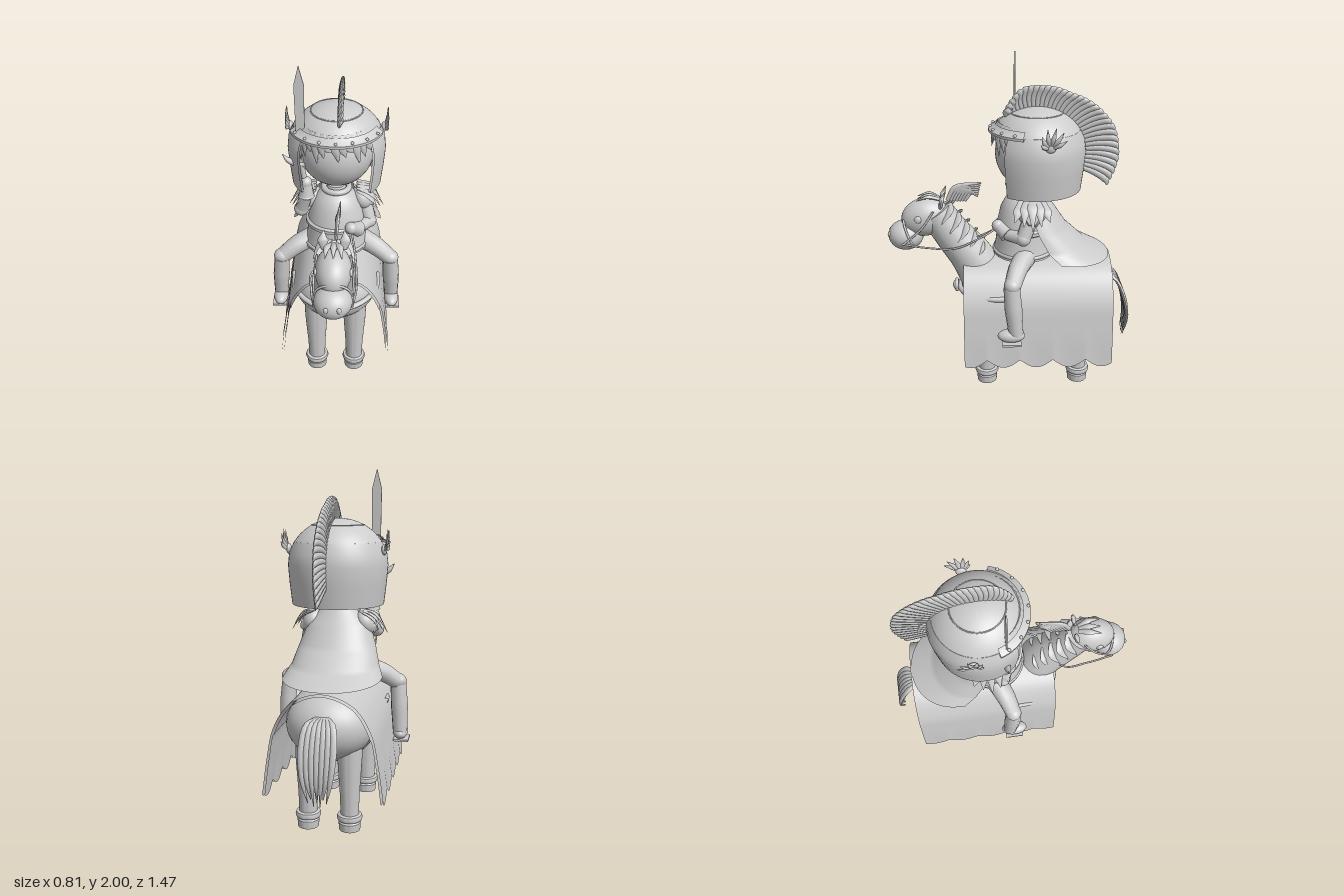
import * as THREE from 'three';
import { toCreasedNormals } from 'three/addons/utils/BufferGeometryUtils.js';

const mat = new THREE.MeshStandardMaterial({ color: 0xcccccc, side: THREE.DoubleSide });
const V = (p) => new THREE.Vector3(...p);
const lerpList = (list, t) => {
  const f = Math.min(t, 1) * (list.length - 1), i = Math.min(Math.floor(f), list.length - 2);
  return list[i] + (list[i + 1] - list[i]) * (f - i);
};

// Sweeps an elliptical section along a curve; "flat" scales it across the side axis.
function sweep(pts, radii, { flat = 1, side = [1, 0, 0], n = 12, seg = 14 } = {}) {
  const curve = new THREE.CatmullRomCurve3(pts.map(V));
  const pos = [], idx = [];
  for (let i = 0; i <= seg; i++) {
    const p = curve.getPoint(i / seg), T = curve.getTangent(i / seg), r = lerpList(radii, i / seg);
    const S = V(side);
    S.addScaledVector(T, -S.dot(T)).normalize();
    const N = T.clone().cross(S);
    for (let j = 0; j < n; j++) {
      const a = (j / n) * Math.PI * 2;
      const q = p.clone().addScaledVector(S, r * Math.cos(a)).addScaledVector(N, r * flat * Math.sin(a));
      pos.push(q.x, q.y, q.z);
      if (i < seg) {
        const A = i * n + j, B = i * n + (j + 1) % n;
        idx.push(A, B, A + n, B, B + n, A + n);
      }
    }
  }
  const c = pos.length / 3, e = seg * n;
  pos.push(...pts[0], ...pts[pts.length - 1]);
  for (let j = 0; j < n; j++) {
    const k = (j + 1) % n;
    idx.push(c, k, j, c + 1, e + j, e + k);
  }
  const g = new THREE.BufferGeometry();
  g.setAttribute('position', new THREE.Float32BufferAttribute(pos, 3));
  g.setIndex(idx);
  return toCreasedNormals(g, 0.9);
}

// Bends a plane into a sheet; fn takes u, v in 0..1 and returns a point.
function sheet(nu, nv, fn) {
  const g = new THREE.PlaneGeometry(1, 1, nu, nv), p = g.attributes.position;
  for (let i = 0; i < p.count; i++) p.setXYZ(i, ...fn(p.getX(i) + 0.5, p.getY(i) + 0.5));
  g.computeVertexNormals();
  return g;
}

const ball = (rx, ry, rz) => new THREE.SphereGeometry(1, 32, 20).scale(rx, ry, rz);
const lathe = (pts, start = 0, len = Math.PI * 2) =>
  toCreasedNormals(new THREE.LatheGeometry(pts.map((p) => new THREE.Vector2(...p)), 48, start, len), 0.7);

export function createModel() {
  const model = new THREE.Group();
  const add = (name, geo, pos = [0, 0, 0], rot = [0, 0, 0]) => {
    const m = new THREE.Mesh(geo, mat);
    m.name = name;
    m.position.set(...pos);
    m.rotation.set(...rot);
    model.add(m);
    return m;
  };
  const both = (fn) => [[1, 'left'], [-1, 'right']].forEach(([s, w]) => fn(s, w));

  // Horse body
  add('horseBarrel', ball(0.245, 0.225, 0.43), [0, 0.57, -0.15]);
  add('horseChest', ball(0.25, 0.195, 0.23), [0, 0.615, 0.07]);
  add('horseRump', ball(0.25, 0.2, 0.23), [0, 0.605, -0.37]);
  const legProfile = [[0, 0], [0.06, 0], [0.063, 0.045], [0.052, 0.055], [0.068, 0.06], [0.073, 0.075],
    [0.068, 0.09], [0.052, 0.095], [0.055, 0.2], [0.07, 0.43], [0.07, 0.55]];
  both((s, w) => [[0.15, 'Front'], [-0.42, 'Back']].forEach(([z, e]) =>
    add(`${w}${e}HorseLeg`, lathe(legProfile), [s * 0.12, 0, z])));

  // Horse neck and head
  add('horseNeck', sweep([[0, 0.6, 0.13], [0, 0.8, 0.23], [0, 0.96, 0.35], [0, 1.1, 0.44]],
    [0.15, 0.13, 0.11, 0.1], { n: 24 }));
  add('horseHead', ball(0.1, 0.115, 0.145), [0, 1.065, 0.505], [0.25, 0, 0]);
  add('horseMuzzle', ball(0.105, 0.09, 0.105), [0, 0.952, 0.625]);
  both((s, w) => {
    add(`${w}Nostril`, ball(0.014, 0.018, 0.01), [s * 0.035, 0.967, 0.72]);
    add(`${w}HorseEye`, ball(0.012, 0.022, 0.022), [s * 0.093, 1.08, 0.54]);
    add(`${w}HorseEar`, sweep([[s * 0.05, 1.14, 0.41], [s * 0.06, 1.19, 0.4], [s * 0.055, 1.24, 0.38]],
      [0.02, 0.03, 0.002], { flat: 0.5 }));
  });

  // Mane: swept tuft, forelock and overlapping locks down the neck
  for (let i = 0; i < 7; i++) {
    const k = i / 6;
    add('maneStrand', sweep([[0.01, 1.17, 0.37 - k * 0.1], [0.015, 1.25 - k * 0.025, 0.32 - k * 0.09],
      [0.03, 1.285 - k * 0.085, 0.17 + k * 0.02]], [0.008, 0.012, 0.003], { flat: 1.6, n: 8 }));
  }
  for (let i = 0; i < 5; i++) both((s) => {
    const y = 1.14 - i * 0.06, z = 0.37 - i * 0.045;
    add('neckLock', sweep([[s * 0.01, y, z], [s * 0.07, y - 0.02, z - 0.01], [s * 0.115, y - 0.08, z + 0.03]],
      [0.03, 0.035, 0.002], { side: [0, 0.6, -0.8], flat: 0.35, n: 8 }));
  });
  for (const x of [-0.035, 0, 0.035])
    add('forelock', sweep([[x * 0.4, 1.18, 0.42], [x, 1.2, 0.48], [x * 1.3, 1.18, 0.55]],
      [0.015, 0.018, 0.002], { flat: 0.6, n: 8 }));
  add('browGem', ball(0.02, 0.014, 0.02), [0, 1.185, 0.465]);

  // Harness
  const strap = (name, pts, r) => add(name, new THREE.TubeGeometry(
    new THREE.CatmullRomCurve3(pts.map(V)), 40, r, 8));
  add('noseband', new THREE.TorusGeometry(0.1, 0.007, 8, 40), [0, 0.975, 0.6], [0.35, 0, 0]);
  both((s, w) => {
    strap(`${w}Rein`, [[s * 0.103, 0.93, 0.64], [s * 0.125, 0.915, 0.48], [s * 0.125, 0.91, 0.33],
      [0.09 + s * 0.025, 0.96, 0.2], [0.09, 1.03, 0.07]], 0.006);
    strap(`${w}CheekStrap`, [[s * 0.103, 0.93, 0.63], [s * 0.106, 1.03, 0.52], [s * 0.09, 1.13, 0.45]], 0.006);
  });
  strap('chestStrap', [[-0.262, 0.64, 0.0], [-0.24, 0.635, 0.16], [-0.14, 0.62, 0.27], [0, 0.61, 0.31],
    [0.14, 0.62, 0.27], [0.24, 0.635, 0.16], [0.262, 0.64, 0.0]], 0.016);
  add('chestMedallion', ball(0.03, 0.03, 0.02), [0, 0.61, 0.335]);
  add('medallionRim', new THREE.TorusGeometry(0.032, 0.011, 10, 28), [0, 0.61, 0.33]);

  // Tail strands
  for (let i = 0; i < 7; i++) {
    const k = i / 3 - 1, d = 0.03 * Math.abs(k) + 0.03 * (i % 2);
    add('tailStrand', sweep([[k * 0.03, 0.69, -0.57], [k * 0.07, 0.67, -0.64], [k * 0.085, 0.55, -0.7],
      [k * 0.075, 0.4, -0.727], [k * 0.05, 0.24 + d, -0.71]], [0.014, 0.018, 0.02, 0.015, 0.002],
    { flat: 0.6, n: 8 }));
  }

  // Scalloped blanket, outer and inner skin
  const section = new THREE.CatmullRomCurve3([[-0.335, 0.245, 0], [-0.305, 0.45, 0], [-0.265, 0.63, 0],
    [-0.17, 0.77, 0], [0, 0.828, 0], [0.17, 0.77, 0], [0.265, 0.63, 0], [0.305, 0.45, 0], [0.335, 0.245, 0]].map(V));
  for (const t of [0, 0.014]) add(t ? 'blanketLining' : 'blanket', sheet(60, 72, (u, v) => {
    const p = section.getPoint(u), z = -0.6 + v * 0.88;
    const hem = Math.max(0, (0.45 - p.y) / 0.2);
    const wave = 0.025 - 0.05 * Math.abs(Math.sin(v * Math.PI * 4.5 + 0.6));
    return [p.x * (1 - t * 3), p.y - (p.y > 0.6 ? t : 0) + hem * wave, z];
  }));

  // Rider torso, belt and skirt
  add('torso', lathe([[0, 1.25], [0.05, 1.25], [0.06, 1.22], [0.11, 1.19], [0.145, 1.13], [0.17, 1.03],
    [0.185, 1.02], [0.185, 1.0], [0.17, 0.99], [0.178, 0.92], [0.19, 0.865], [0.195, 0.845], [0, 0.845]].reverse())
    .scale(1, 1, 0.94), [0, 0, -0.08]);
  add('belt', new THREE.TorusGeometry(0.185, 0.012, 8, 48).rotateX(Math.PI / 2).scale(1, 1, 0.95), [0, 0.865, -0.08]);
  add('collar', new THREE.TorusGeometry(0.075, 0.018, 10, 32), [0, 1.225, -0.09], [Math.PI / 2, 0, 0]);

  // Rider legs, feet and stirrups; shoulder guards with leaves
  both((s, w) => {
    add(`${w}Thigh`, sweep([[s * 0.12, 0.87, -0.1], [s * 0.24, 0.83, -0.04], [s * 0.335, 0.765, -0.005]],
      [0.065, 0.058, 0.048], { side: [0, 0, 1] }));
    add(`${w}Knee`, ball(0.05, 0.045, 0.048), [s * 0.335, 0.77, -0.003]);
    add(`${w}Shin`, sweep([[s * 0.335, 0.76, 0], [s * 0.345, 0.62, -0.01], [s * 0.353, 0.46, -0.025]],
      [0.047, 0.051, 0.043]));
    add(`${w}Foot`, ball(0.045, 0.04, 0.08), [s * 0.353, 0.453, 0.003]);
    add(`${w}Stirrup`, new THREE.BoxGeometry(0.09, 0.012, 0.11), [s * 0.36, 0.412, 0]);
    add(`${w}ShoulderGuard`, ball(0.06, 0.075, 0.08), [s * 0.155, 1.14, -0.12], [0, 0, s * 0.4]);
    add(`${w}ShoulderDisc`, new THREE.CylinderGeometry(0.04, 0.055, 0.025, 6), [s * 0.208, 1.13, -0.12],
      [0, 0, -s * 1.3]);
    for (let i = 0; i < 5; i++) {
      const z = -0.18 + i * 0.03, d = Math.abs(i - 2) * 0.02;
      add(`${w}ShoulderLeaf`, sweep([[s * 0.12, 1.215, z], [s * 0.21, 1.19 - d / 2, z + (i - 2) * 0.01],
        [s * (0.285 - d), 1.08 + d, z + (i - 2) * 0.02]], [0.012, 0.03, 0.002],
      { side: [0, 0, 1], flat: 0.25, n: 8 }));
    }
  });

  // Arms: left holds the reins, right raises the sword
  const arm = (w, shoulder, elbow, wrist, hand) => {
    add(`${w}UpperArm`, sweep([shoulder, elbow], [0.05, 0.042], { side: [0.2, 0.3, 1] }));
    add(`${w}Elbow`, ball(0.043, 0.043, 0.043), elbow);
    add(`${w}Forearm`, sweep([elbow, wrist], [0.042, 0.035], { side: [0.3, 0.2, 1] }));
    add(`${w}GloveCuff`, sweep([wrist, hand], [0.05, 0.033], { side: [0.3, 0.2, 1] }));
    add(`${w}Hand`, ball(0.036, 0.036, 0.036), hand);
  };
  arm('left', [0.16, 1.13, -0.12], [0.2, 1.0, -0.07], [0.13, 1.0, 0.02], [0.09, 1.04, 0.075]);
  arm('right', [-0.16, 1.13, -0.12], [-0.21, 1.09, -0.05], [-0.175, 1.2, -0.02], [-0.175, 1.29, -0.025]);

  // Sword
  const blade = new THREE.Shape([[-0.022, 0], [0.022, 0], [0.028, 0.5], [0, 0.61], [-0.028, 0.5]]
    .map((p) => new THREE.Vector2(...p)));
  add('swordBlade', new THREE.ExtrudeGeometry(blade, { depth: 0.008, bevelEnabled: false }), [-0.2, 1.39, -0.034]);
  add('swordGrip', sweep([[-0.17, 1.22, -0.03], [-0.2, 1.41, -0.03]], [0.016, 0.016]));
  add('swordGuard', sweep([[-0.305, 1.47, -0.03], [-0.27, 1.43, -0.03], [-0.2, 1.405, -0.03],
    [-0.13, 1.43, -0.03], [-0.11, 1.47, -0.03]], [0.002, 0.018, 0.016, 0.018, 0.002], { side: [0, 0, 1] }));

  // Cloak falling over the horse's back
  const rows = { y: [1.225, 1.13, 1.01, 0.9, 0.835], back: [-0.19, -0.26, -0.34, -0.46, -0.595],
    edge: [-0.1, -0.12, -0.16, -0.22, -0.29], w: [0.1, 0.18, 0.22, 0.25, 0.28] };
  add('cloak', sheet(40, 32, (u, v) => {
    const a = (u - 0.5) * Math.PI, t = 1 - v, r = (k) => lerpList(rows[k], t);
    const c = Math.pow(Math.max(0, Math.cos(a)), 0.85);
    return [r('w') * Math.sin(a), r('y') + 0.025 * t * (1 - c), r('edge') + (r('back') - r('edge')) * c];
  }));

  // Head and fringe
  add('head', ball(0.218, 0.218, 0.218), [0, 1.46, -0.13]);
  for (let i = 0; i < 13; i++) {
    const a = (i / 12 - 0.5) * 2.1, low = 1.5 + 0.035 * (i % 3) - 0.05 * Math.abs(i / 6 - 1);
    const at = (r, y, b) => [r * Math.sin(b), y, -0.13 + r * Math.cos(b)];
    add('hairLock', sweep([at(0.19, 1.64, a), at(0.225, 1.58, a), at(0.237, low, a + 0.07)],
      [0.03, 0.034, 0.002], { side: [Math.cos(a), 0, -Math.sin(a)], flat: 0.4, n: 8 }));
  }

  // Helmet: full dome, open-faced guard, brow band with rivets
  const C = [0, 1.47, -0.15], dome = [], wall = [];
  for (let i = 0; i <= 10; i++) {
    const a = 0.52 + (i / 10) * (Math.PI / 2 - 0.52);
    dome.push([0.285 * Math.cos(a), 0.26 * Math.sin(a)]);
  }
  [[0.262, -0.22], [0.276, -0.1], [0.284, 0], [0.276, 0.07], [0.248, 0.13]].forEach((p) => wall.push(p));
  const open = 0.85, inner = wall.map(([r, y]) => [r - 0.014, y]).reverse();
  add('helmetDome', lathe(dome), C);
  add('helmetGuard', lathe([...wall, ...inner, wall[0]], open, Math.PI * 2 - open * 2), C);
  add('helmetRing', new THREE.TorusGeometry(0.147, 0.004, 6, 48), [0, 1.692, -0.15], [Math.PI / 2, 0, 0]);
  add('browBand', lathe([[0.235, 0.165], [0.25, 0.15], [0.275, 0.135], [0.275, 0.12], [0.245, 0.125]], -1.25, 2.5), C);
  for (let i = 0; i < 7; i++) {
    const a = (i - 3) * 0.35;
    add('browRivet', ball(0.009, 0.009, 0.009), [0.264 * Math.sin(a), 1.615, -0.15 + 0.264 * Math.cos(a)]);
  }

  // Leaf ornaments on the helmet sides
  both((s, w) => {
    add(`${w}HelmetBoss`, ball(0.015, 0.03, 0.03), [s * 0.27, 1.56, -0.21]);
    for (let i = 0; i < 6; i++) {
      const a = 0.2 + i * 0.5, l = 0.065 + 0.03 * Math.sin(a);
      add(`${w}HelmetLeaf`, sweep([[s * 0.268, 1.555, -0.21], [s * 0.29, 1.56 + l * 0.55 * Math.sin(a), -0.215 + l * 0.6 * Math.cos(a)],
        [s * 0.293, 1.565 + l * 1.15 * Math.sin(a), -0.225 + l * Math.cos(a)]], [0.006, 0.008, 0.001], { flat: 1.7, n: 8 }));
    }
  });

  // Crest of curved feathers
  const reach = [0.31, 0.385, 0.39, 0.395, 0.43, 0.465, 0.47, 0.455];
  for (let i = 0; i < 32; i++) {
    const k = i / 31, a = 0.92 + k * 2.55, R = lerpList(reach, k);
    const at = (r, b, x) => [x, 1.46 + r * Math.sin(b), -0.15 + r * Math.cos(b)];
    add('crestFeather', sweep([at(0.25, a, 0.015), at((0.27 + R) / 2, a + 0.01, 0.02), at(R - 0.015, a + 0.06, 0.03),
      at(R, a + 0.11, 0.035)], [0.008, 0.012, 0.012, 0.002], { flat: 1.7, n: 8 }));
  }
  return model;
}
